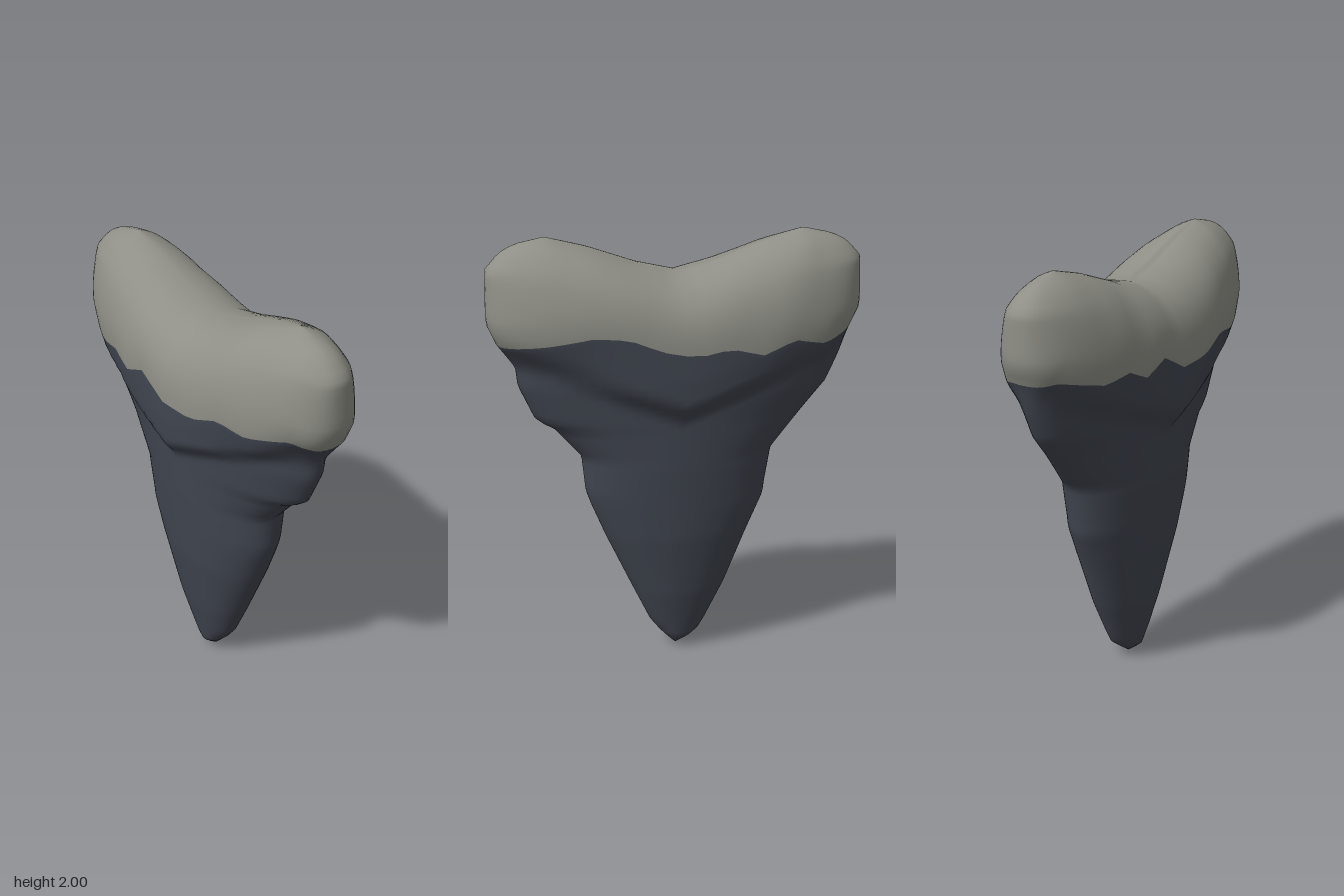
import * as THREE from 'three';

const SEG = 80, BLADE_ROWS = 56, ROOT_ROWS = 18, SEAM_Y = 1.53;

// piecewise-linear lookup in rows of [key, value, ...]
function look(table, k, col = 1) {
  if (k <= table[0][0]) return table[0][col];
  for (let i = 1; i < table.length; i++) {
    const a = table[i - 1], b = table[i];
    if (k <= b[0]) return a[col] + (b[col] - a[col]) * (k - a[0]) / (b[0] - a[0]);
  }
  return table[table.length - 1][col];
}
const smooth = THREE.MathUtils.smoothstep;

// blade outline: y, right extent (-x), left extent (+x), with one worn spur
const outline = [[0, 0, 0], [0.08, 0.11, 0.078], [0.14, 0.145, 0.125], [0.32, 0.235, 0.21], [0.58, 0.34, 0.33],
  [0.75, 0.415, 0.4], [0.81, 0.422, 0.42], [0.98, 0.45, 0.437], [1.13, 0.575, 0.57], [1.16, 0.6, 0.64],
  [1.29, 0.71, 0.7], [1.33, 0.727, 0.718], [1.41, 0.765, 0.728], [SEAM_Y, 0.81, 0.81]];
// blade half thickness, exponent of its rounded cross-section
const thickness = [[0, 0, 2], [0.05, 0.07, 2], [0.3, 0.13, 2], [0.6, 0.18, 2], [0.95, 0.21, 2],
  [1.17, 0.222, 1.8], [1.4, 0.235, 1.9], [SEAM_Y, 0.235, 2.3]];
// wavy border between blade and root
const seamFront = [[-0.8, 1.56], [-0.75, 1.575], [-0.55, 1.53], [-0.4, 1.555], [-0.3, 1.5], [-0.16, 1.56], [0, 1.475],
  [0.2, 1.48], [0.37, 1.545], [0.52, 1.525], [0.72, 1.57], [0.8, 1.53]];
const seamBack = [[-0.8, 1.56], [-0.65, 1.51], [-0.5, 1.545], [-0.35, 1.49], [-0.2, 1.53], [-0.05, 1.5], [0.1, 1.53],
  [0.25, 1.59], [0.4, 1.6], [0.6, 1.56], [0.8, 1.53]];
// root half width by height fraction, and its saddle-shaped top by |x|
const rootWidth = [[0, 0.81], [0.2, 0.852], [0.7, 0.85], [0.85, 0.79], [0.93, 0.72], [1, 0.59]];
const rootTop = [[0, 1.83], [0.17, 1.87], [0.4, 1.952], [0.58, 2]];

const seam = (x, z) => look(z >= 0 ? seamFront : seamBack, x);
const power = (v, n) => Math.sign(v) * Math.pow(Math.abs(v), 2 / n);

function bladePoint(y, a) {
  const n = look(thickness, y, 2);
  const x = power(Math.cos(a), n) * look(outline, y, Math.cos(a) < 0 ? 1 : 2);
  // swollen shoulder above a V-shaped ridge on both faces
  const ridge = 1.17 + 0.36 * Math.abs(x);
  const depth = look(thickness, y) + 0.058 * smooth(y, ridge, ridge + 0.1);
  const z = power(Math.sin(a), n) * depth;
  return [x, y + (seam(x, z) - SEAM_Y) * smooth(y, 1.32, SEAM_Y), z];
}

function rootPoint(t, a) {
  const x = power(Math.cos(a), 2.3) * look(rootWidth, t);
  const side = power(Math.sin(a), 2.3);
  const z = side * 0.293 * Math.sqrt(Math.max(0, 1 - Math.pow(t, 2.5)));
  const base = seam(x, side);
  return [x, base + (look(rootTop, Math.abs(x)) - base) * t, z];
}

export function createModel() {
  const positions = [], bladeIndex = [], rootIndex = [];
  const rows = BLADE_ROWS + ROOT_ROWS;
  for (let r = 0; r <= rows; r++) {
    for (let s = 0; s < SEG; s++) {
      const a = s / SEG * Math.PI * 2;
      positions.push(...(r <= BLADE_ROWS
        ? bladePoint(SEAM_Y * r / BLADE_ROWS, a)
        : rootPoint(Math.sin((r - BLADE_ROWS) / ROOT_ROWS * Math.PI / 2), a)));
      if (r === rows) continue;
      const p = r * SEG + s, q = r * SEG + (s + 1) % SEG;
      (r < BLADE_ROWS ? bladeIndex : rootIndex).push(p, p + SEG, q, q, p + SEG, q + SEG);
    }
  }

  // one skin gives both parts continuous normals across the border
  const skin = new THREE.BufferGeometry();
  skin.setAttribute('position', new THREE.Float32BufferAttribute(positions, 3));
  skin.setIndex([...bladeIndex, ...rootIndex]);
  skin.computeVertexNormals();
  for (let s = 0; s < SEG; s++) {
    skin.attributes.normal.setXYZ(s, 0, -1, 0);
    skin.attributes.normal.setXYZ(rows * SEG + s, 0, 1, 0);
  }

  const enamel = new THREE.MeshStandardMaterial({ color: 0x414650 });
  enamel.name = 'dark slate enamel';
  const bone = new THREE.MeshStandardMaterial({ color: 0x8f8f87 });
  bone.name = 'grey root';

  const group = new THREE.Group();
  group.name = 'fossilTooth';
  const addPart = (name, index, material) => {
    const geometry = new THREE.BufferGeometry();
    geometry.setAttribute('position', skin.attributes.position);
    geometry.setAttribute('normal', skin.attributes.normal);
    geometry.setIndex(index);
    const mesh = new THREE.Mesh(geometry, material);
    mesh.name = name;
    group.add(mesh);
  };
  addPart('blade', bladeIndex, enamel);
  addPart('root', rootIndex, bone);
  return group;
}
